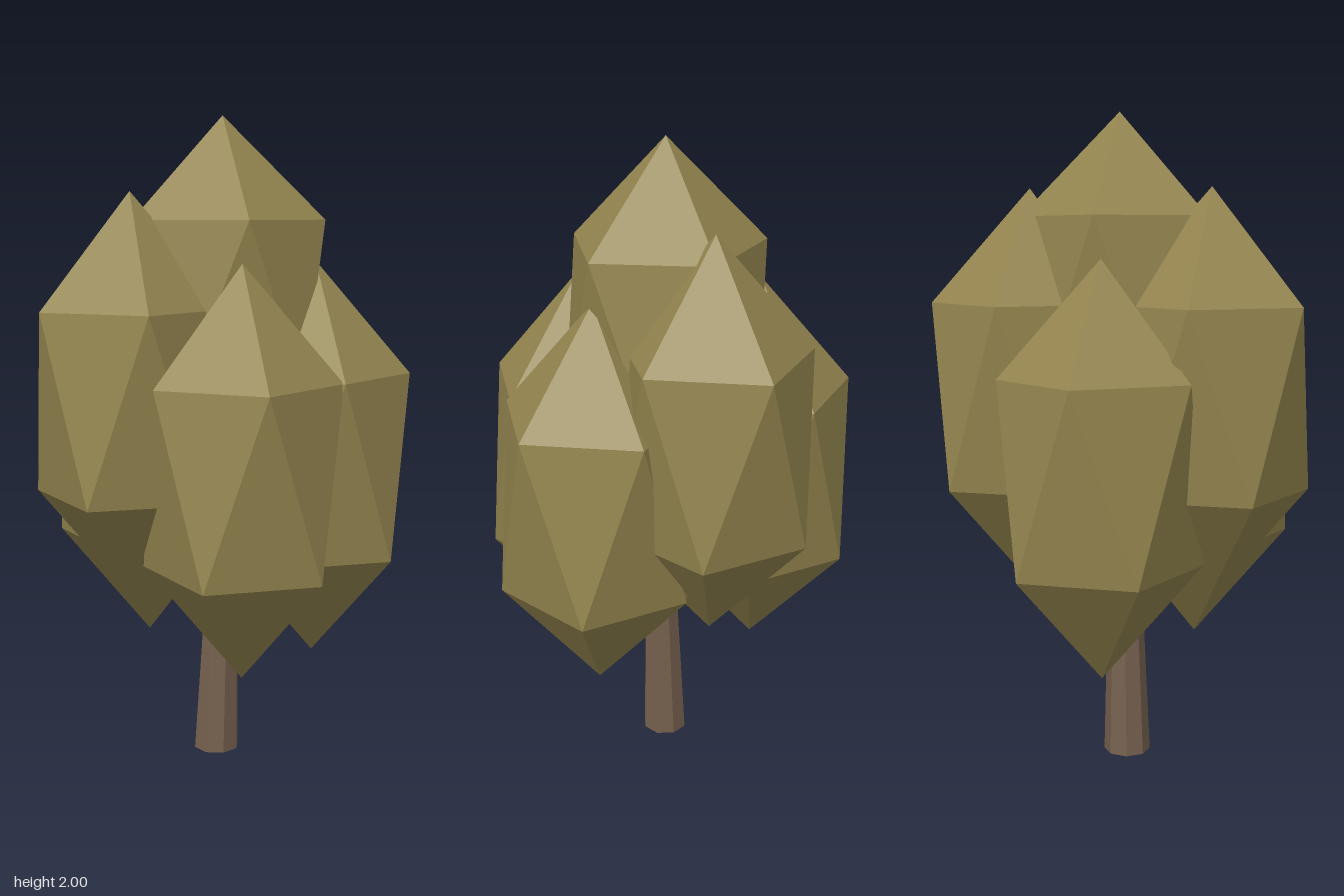
import * as THREE from 'three';

const leafMat = new THREE.MeshStandardMaterial({ color: 0x94854f, flatShading: true });
const barkMat = new THREE.MeshStandardMaterial({ color: 0x75604e, flatShading: true });

// Stretched icosahedron with a tip straight up and an upper ring corner on +x
function leafClump(name, x, y, z, rx, ry, rz) {
  const geo = new THREE.IcosahedronGeometry(1, 0);
  geo.rotateX(-Math.atan2((1 + Math.sqrt(5)) / 2, 1));
  geo.rotateY(Math.PI / 2);
  geo.scale(rx, ry, rz);
  geo.computeVertexNormals();
  const mesh = new THREE.Mesh(geo, leafMat);
  mesh.name = name;
  mesh.position.set(x, y, z);
  return mesh;
}

// Tapered eight-sided trunk that leans towards +x
function trunk() {
  const height = 1.1;
  const geo = new THREE.CylinderGeometry(0.034, 0.073, height, 8);
  geo.rotateY(Math.PI / 8);
  geo.translate(0, height / 2, 0);
  const p = geo.attributes.position;
  for (let i = 0; i < p.count; i++) p.setX(i, p.getX(i) - 0.035 + p.getY(i) * 0.034);
  geo.computeVertexNormals();
  const mesh = new THREE.Mesh(geo, barkMat);
  mesh.name = 'trunk';
  return mesh;
}

export function createModel() {
  const tree = new THREE.Group();
  tree.name = 'tree';
  tree.add(trunk());

  // Ring of five clumps, two of them raised
  const ringNames = ['leftClump', 'frontClump', 'frontRightClump', 'backRightClump', 'backClump'];
  const ringHeights = [0.952, 0.952, 1.157, 0.952, 1.157];
  ringNames.forEach((name, i) => {
    const a = (i * Math.PI * 2) / 5;
    tree.add(leafClump(name, -0.03 + 0.3 * Math.cos(a), ringHeights[i], 0.291 * Math.sin(a), 0.327, 0.617, 0.337));
  });

  // Crown clump in the middle
  tree.add(leafClump('crownClump', -0.015, 1.441, -0.017, 0.35, 0.559, 0.335));
  return tree;
}
